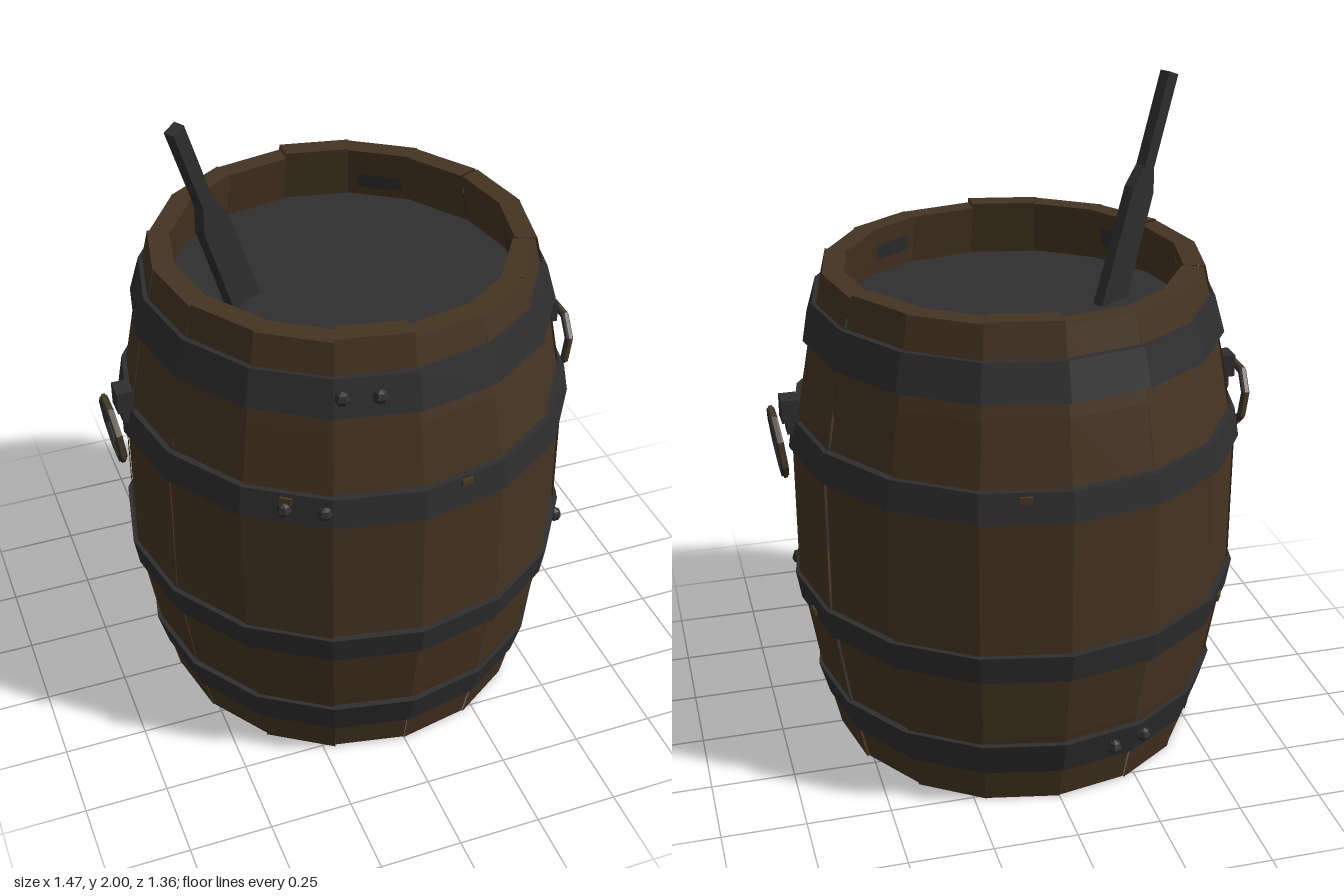
import * as THREE from 'three';

const SIDES = 16;
const STEP = (Math.PI * 2) / SIDES;

const flat = (name, color, side = THREE.FrontSide) => {
  const m = new THREE.MeshStandardMaterial({ color, flatShading: true, side });
  m.name = name;
  return m;
};

export function createModel() {
  const wood = flat('oak wood', 0x453421, THREE.DoubleSide);
  const baseWood = flat('dark base wood', 0x38281c);
  const iron = flat('dark iron', 0x2e2e2e);
  const pitch = flat('pitch', 0x2f2f2f, THREE.DoubleSide);
  const rust = flat('rust', 0x4a3a20);

  const barrel = new THREE.Group();
  barrel.name = 'barrel';
  const add = (name, geometry, material, parent = barrel) => {
    const mesh = new THREE.Mesh(geometry, material);
    mesh.name = name;
    parent.add(mesh);
    return mesh;
  };
  const lathe = (pts, segments, start, length) =>
    new THREE.LatheGeometry(pts.map(([r, y]) => new THREE.Vector2(r, y)), segments, start, length);
  // Put a part on the barrel wall, its z axis facing outward
  const onWall = (mesh, angle, r, y) => {
    mesh.position.set(Math.sin(angle) * r, y, Math.cos(angle) * r);
    mesh.rotation.y = angle;
  };

  // Staves: one lathe facet each, with slightly uneven tops
  const tops = [1.505, 1.51, 1.515, 1.505, 1.51, 1.52, 1.507, 1.515];
  for (let i = 0; i < SIDES; i++) {
    const top = tops[(i * 3) % 8];
    const d = [0, 0.005, -0.003, 0.003][(i * 5 + (i >> 2)) % 4];
    add('stave', lathe([
      [0.555 + d, 0], [0.612 + d, 0.25], [0.664 + d, 0.56], [0.664 + d, 0.97], [0.612 + d, 1.26],
      [0.556 + d, top], [0.492 + d, top], [0.55, 1.2], [0.5, 0.02], [0.555 + d, 0],
    ], 1, i * STEP, STEP), wood);
  }

  // Base and dark contents
  const base = add('base', new THREE.CircleGeometry(0.557, SIDES), baseWood);
  base.rotation.x = Math.PI / 2;
  base.position.y = 0.001;
  const contents = add('contents', new THREE.CircleGeometry(0.53, SIDES), pitch);
  contents.rotation.x = -Math.PI / 2;
  contents.position.y = 1.35;

  // Splashes on the inner wall
  for (const [i, low, high] of [[1, 1.4, 1.45], [3, 1.38, 1.44], [6, 1.38, 1.43], [8, 1.39, 1.46], [11, 1.38, 1.44], [13, 1.4, 1.46]]) {
    const inner = (y) => 0.486 + (1.51 - y) * 0.187;
    add('splash', lathe([[inner(low), low], [inner(high), high]], 1, (i + 0.15) * STEP, STEP * 0.7), pitch);
  }

  // Hoops: [bottom y, top y, bottom radius, top radius]
  const hoops = [
    [0.115, 0.225, 0.593, 0.624], [0.47, 0.56, 0.666, 0.681],
    [0.98, 1.07, 0.681, 0.666], [1.31, 1.42, 0.624, 0.593],
  ];
  for (const [y0, y1, r0, r1] of hoops) {
    add('hoop', lathe([
      [r0 - 0.05, y0], [r0, y0], [r1, y1], [r1 - 0.05, y1], [r0 - 0.05, y0],
    ], SIDES, 0, Math.PI * 2), iron);
  }

  // Paired rivets: [x, z, y]
  const rivets = [
    [-0.21, 0.565, 1.365], [-0.11, 0.59, 1.365], [-0.375, 0.555, 1.025], [-0.275, 0.61, 1.025],
    [0.61, 0.285, 0.515], [0.647, 0.175, 0.515], [-0.157, -0.59, 0.17], [-0.26, -0.55, 0.17],
  ];
  for (const [x, z, y] of rivets) {
    const rivet = add('rivet', new THREE.SphereGeometry(0.023, 6, 4), iron);
    onWall(rivet, Math.atan2(x, z), Math.hypot(x, z), y);
  }

  // Small rust flakes on the middle hoops
  for (const [i, y] of [[0.5, 1.055], [4.5, 0.49], [7.5, 1.05], [10.5, 0.5], [14.5, 1.05]]) {
    onWall(add('rustFlake', new THREE.BoxGeometry(0.035, 0.02, 0.008), rust), i * STEP, 0.661, y);
  }

  // Ring handles on both sides
  for (const s of [1, -1]) {
    const handle = new THREE.Group();
    handle.name = s > 0 ? 'leftHandle' : 'rightHandle';
    handle.rotation.y = s * Math.PI / 2;
    barrel.add(handle);
    const bracket = add('bracket', new THREE.BoxGeometry(0.065, 0.07, 0.05), iron, handle);
    bracket.position.set(0, 1.105, 0.675);
    const neck = add('bracketFoot', new THREE.BoxGeometry(0.05, 0.06, 0.03), iron, handle);
    neck.position.set(0, 1.06, 0.67);
    const ring = new THREE.Group();
    ring.name = 'ring';
    ring.position.set(0, 1.0, 0.712);
    ring.rotation.x = 0.13;
    handle.add(ring);
    const ringBody = add('ringBody', new THREE.TorusGeometry(0.095, 0.013, 6, 8), iron, ring);
    ringBody.rotation.z = Math.PI / 8;
    const edge = add('ringEdge', new THREE.CylinderGeometry(0.109, 0.109, 0.012, 8, 1, true), rust, ring);
    edge.rotation.set(Math.PI / 2, Math.PI / 8, 0);
  }

  // Stirring paddle, leaning against the rim
  const outline = [[-0.055, -0.08], [0.055, -0.08], [0.05, 0.34], [0.022, 0.41], [0.022, 0.69],
    [-0.022, 0.69], [-0.022, 0.41], [-0.05, 0.34]];
  const paddleShape = new THREE.Shape(outline.map(([x, y]) => new THREE.Vector2(x, y)));
  const paddleGeometry = new THREE.ExtrudeGeometry(paddleShape, { depth: 0.034, bevelEnabled: false });
  paddleGeometry.translate(0, 0, -0.017);
  const paddle = add('paddle', paddleGeometry, iron);
  paddle.position.set(-0.3, 1.35, -0.01);
  paddle.rotation.order = 'YXZ';
  paddle.rotation.set(0, 0.557, 0.36);

  return barrel;
}
